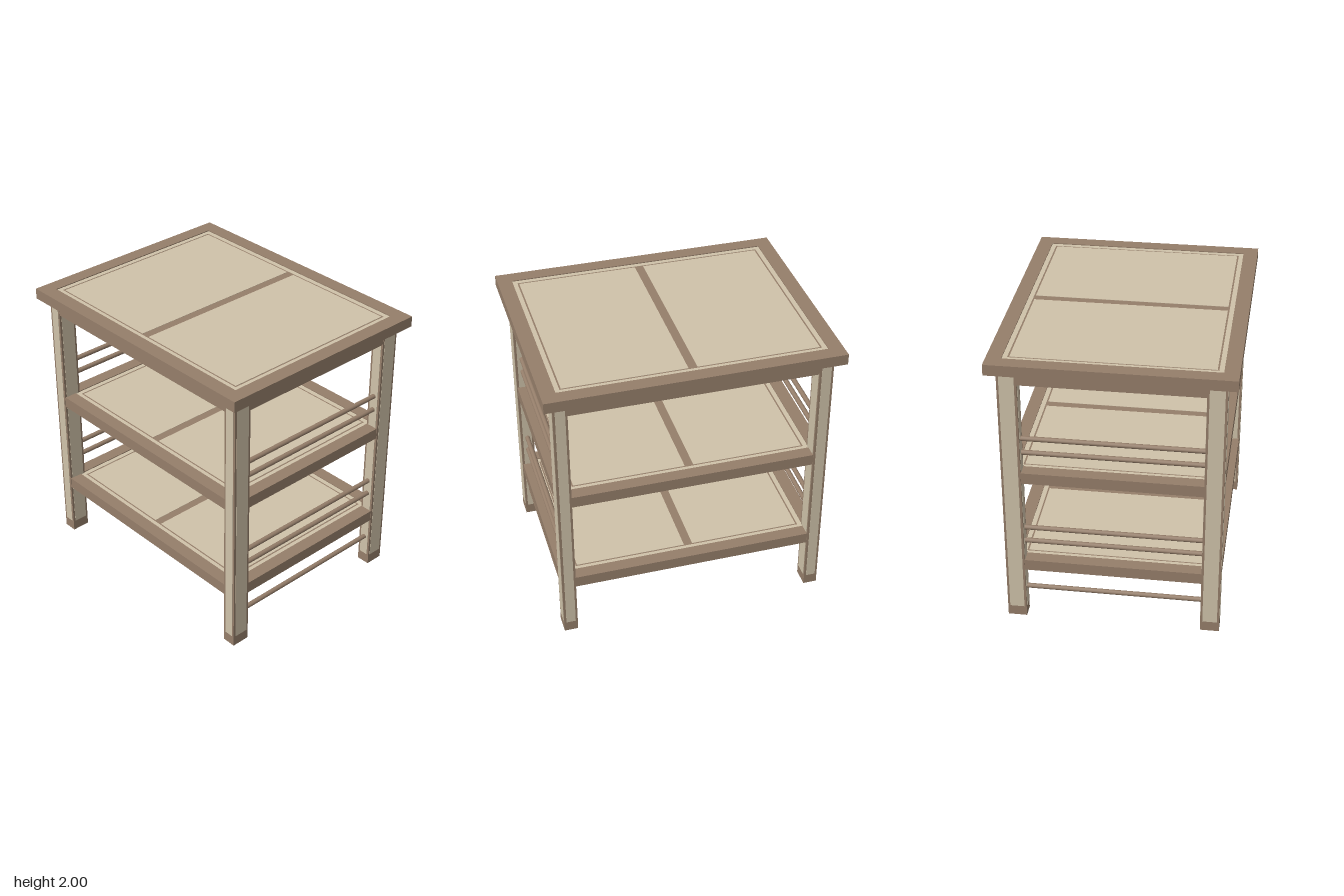
import * as THREE from 'three';

const wood = new THREE.MeshStandardMaterial({ color: 0x957e6a });
const pale = new THREE.MeshStandardMaterial({ color: 0xcfc2a9 });

function box(name, material, w, h, d, x, y, z) {
  const mesh = new THREE.Mesh(new THREE.BoxGeometry(w, h, d), material);
  mesh.name = name;
  mesh.position.set(x, y, z);
  return mesh;
}

// Rectangular ring lying flat: half sizes of outside and hole, from y0 to y1
function ring(name, material, ox, oz, ix, iz, y0, y1) {
  const rect = (T, x, z) => {
    const p = new T();
    p.moveTo(-x, -z);
    p.lineTo(x, -z);
    p.lineTo(x, z);
    p.lineTo(-x, z);
    p.closePath();
    return p;
  };
  const shape = rect(THREE.Shape, ox, oz);
  shape.holes.push(rect(THREE.Path, ix, iz));
  const geo = new THREE.ExtrudeGeometry(shape, { depth: y1 - y0, bevelEnabled: false });
  geo.rotateX(-Math.PI / 2);
  geo.translate(0, y0, 0);
  const mesh = new THREE.Mesh(geo, material);
  mesh.name = name;
  return mesh;
}

// Framed board: dark frame, pale border, dark inlay line, two pale panels
function board(name, ox, oz, rim, y0, y1) {
  const g = new THREE.Group();
  g.name = name;
  const ix = ox - rim, iz = oz - rim;
  const low = y0 + 0.008, high = y1 - 0.006;
  const mid = (low + high) / 2, h = high - low;
  g.add(ring('frame', wood, ox, oz, ix, iz, y0, y1));
  g.add(ring('border', pale, ix, iz, ix - 0.032, iz - 0.032, low, high));
  g.add(box('inlay', wood, 2 * ix - 0.05, h - 0.004, 2 * iz - 0.05, 0, mid, 0));
  const px = ix - 0.043, pz = iz - 0.043, gap = 0.03;
  for (const s of [-1, 1]) {
    g.add(box('panel', pale, px - gap, h, 2 * pz, s * (px + gap) / 2, mid, 0));
  }
  return g;
}

// Leg: dark post with pale facing strips above a plain foot
function leg(sx, sz) {
  const g = new THREE.Group();
  g.name = 'leg';
  const w = 0.096, d = 0.13, top = 1.926, foot = 0.075;
  const y = (top + foot) / 2, h = top - foot;
  g.add(box('post', wood, w, top, d, 0, top / 2, 0));
  g.add(box('frontBackStrip', pale, w - 0.03, h, d + 0.004, 0, y, 0));
  g.add(box('sideStrip', pale, w + 0.004, h, d - 0.03, 0, y, 0));
  g.position.set(sx * 0.886, 0, sz * 0.668);
  return g;
}

export function createModel() {
  const model = new THREE.Group();
  model.name = 'shelfTable';

  // Table top and the apron below it
  model.add(board('tableTop', 1, 0.8, 0.1, 1.925, 2));
  model.add(ring('apron', wood, 0.931, 0.73, 0.861, 0.66, 1.83, 1.926));

  // Two lower shelves
  for (const y of [0.39, 1.09]) model.add(board('shelf', 0.931, 0.73, 0.09, y, y + 0.08));

  for (const sx of [-1, 1]) {
    for (const sz of [-1, 1]) model.add(leg(sx, sz));

    // Side rods between front and back legs
    for (const y of [0.224, 0.607, 0.714, 1.307, 1.413]) {
      const geo = new THREE.CylinderGeometry(0.017, 0.017, 1.22, 12);
      geo.rotateX(Math.PI / 2);
      const rod = new THREE.Mesh(geo, wood);
      rod.name = 'sideRod';
      rod.position.set(sx * 0.886, y, 0);
      model.add(rod);
    }
  }
  return model;
}
